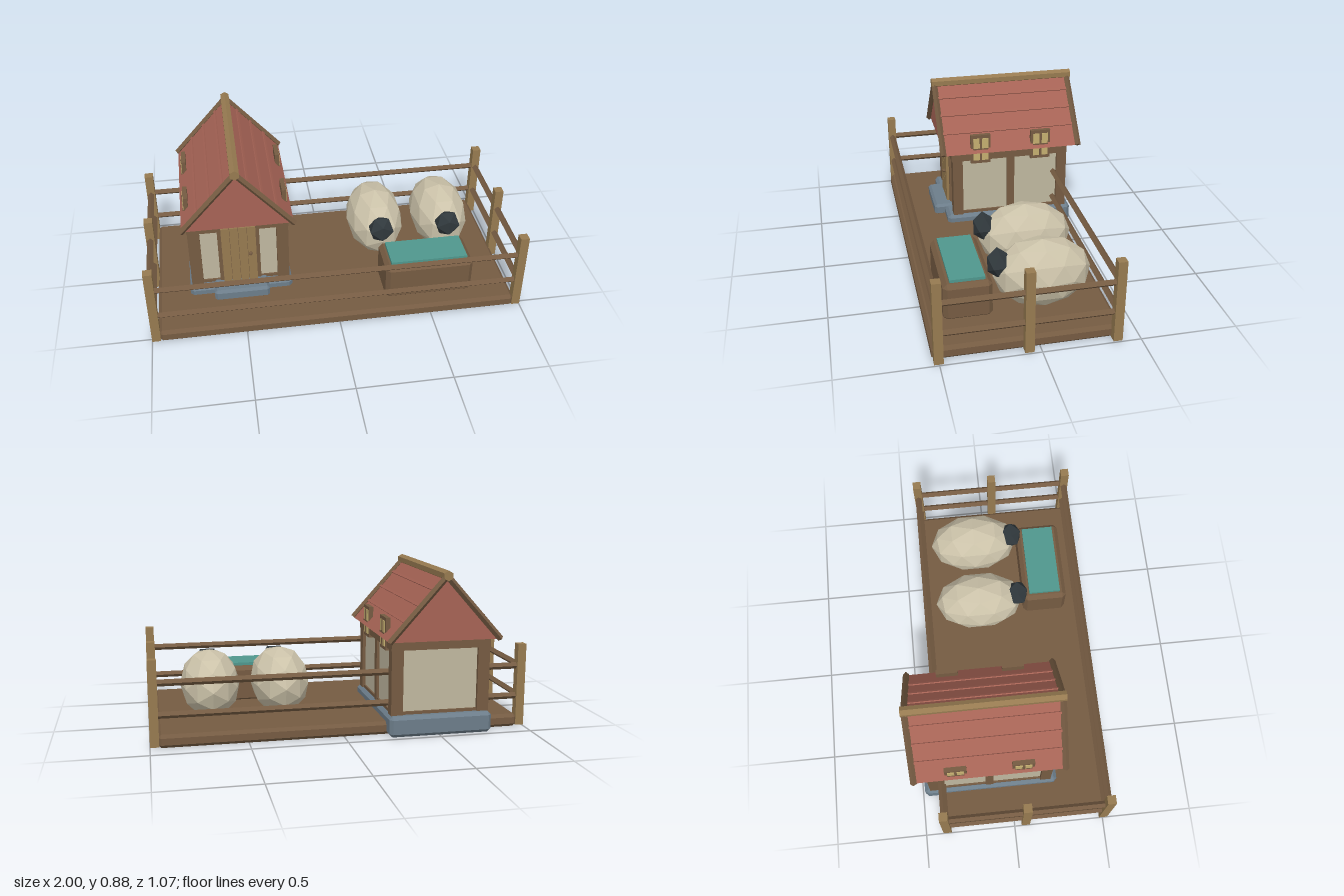
import * as THREE from 'three';
import { ConvexGeometry } from 'three/addons/geometries/ConvexGeometry.js';

export function createModel() {
  const root = new THREE.Group();
  root.name = 'sheepPen';
  const mat = (name, color) => {
    const m = new THREE.MeshStandardMaterial({ color, flatShading: true });
    m.name = name;
    return m;
  };
  const wood = mat('brownWood', 0x755b42);
  const lightWood = mat('lightWood', 0x967a50);
  const red = mat('roofRed', 0xa66355);
  const plaster = mat('plaster', 0xbfb79f);
  const wool = mat('wool', 0xcbc2a9);
  const stone = mat('stone', 0x6c7d8a);
  const dark = mat('darkFace', 0x30383c);
  const teal = mat('water', 0x4f978d);
  const yellow = mat('windowYellow', 0xc4ae70);

  const add = (name, geo, material, x = 0, y = 0, z = 0, parent = root) => {
    const m = new THREE.Mesh(geo, material);
    m.name = name;
    m.position.set(x, y, z);
    parent.add(m);
    return m;
  };
  // box given by its lower and upper limits
  const box = (name, material, x0, x1, y0, y1, z0, z1, parent) =>
    add(name, new THREE.BoxGeometry(x1 - x0, y1 - y0, z1 - z0), material,
      (x0 + x1) / 2, (y0 + y1) / 2, (z0 + z1) / 2, parent);
  // the same with chamfered edges
  const chamferBox = (name, material, x0, x1, y0, y1, z0, z1, b, parent) => {
    const [hx, hy, hz] = [(x1 - x0) / 2, (y1 - y0) / 2, (z1 - z0) / 2];
    const pts = [];
    for (const i of [-1, 1]) for (const j of [-1, 1]) for (const k of [-1, 1]) {
      pts.push(new THREE.Vector3(i * hx, j * (hy - b), k * (hz - b)));
      pts.push(new THREE.Vector3(i * (hx - b), j * hy, k * (hz - b)));
      pts.push(new THREE.Vector3(i * (hx - b), j * (hy - b), k * hz));
    }
    return add(name, new ConvexGeometry(pts), material,
      (x0 + x1) / 2, (y0 + y1) / 2, (z0 + z1) / 2, parent);
  };
  // straight pole between two points
  const pole = (name, material, a, b, r, sides, parent) => {
    const p = new THREE.Vector3(...a), q = new THREE.Vector3(...b);
    const d = q.clone().sub(p);
    const m = add(name, new THREE.CylinderGeometry(r, r, d.length(), sides), material, 0, 0, 0, parent);
    m.position.copy(p).add(q).multiplyScalar(0.5);
    m.quaternion.setFromUnitVectors(new THREE.Vector3(0, 1, 0), d.normalize());
    return m;
  };

  // deck
  chamferBox('deck', wood, -0.96, 0.96, 0.003, 0.073, -0.41, 0.532, 0.017);

  // fence
  const fence = new THREE.Group();
  fence.name = 'fence';
  root.add(fence);
  const px = 0.977, zs = [-0.38, 0.063, 0.503];
  for (const s of [-1, 1]) for (const z of zs)
    box('fencePost', lightWood, s * px - 0.023, s * px + 0.023, 0.01, 0.459, z - 0.023, z + 0.023, fence);
  for (const y of [0.171, 0.338]) {
    for (const z of [zs[0], zs[2]]) pole('fenceRail', wood, [-0.96, y, z], [0.96, y, z], 0.018, 4, fence);
    for (const s of [-1, 1]) pole('fenceRail', wood, [s * px, y, zs[0]], [s * px, y, zs[2]], 0.018, 4, fence);
  }

  // house, built around its own centre line
  const house = new THREE.Group();
  house.name = 'house';
  house.position.x = -0.505;
  root.add(house);
  chamferBox('foundation', stone, -0.28, 0.28, 0.004, 0.117, -0.485, 0.26, 0.018, house);
  chamferBox('doorStep', stone, -0.15, 0.15, 0.06, 0.128, 0.2, 0.32, 0.014, house);
  box('walls', plaster, -0.25, 0.25, 0.11, 0.52, -0.435, 0.205, house);
  box('sill', wood, -0.26, 0.26, 0.115, 0.133, -0.445, 0.215, house);
  for (const s of [-1, 1]) {
    for (const z of [-0.425, 0.195])
      box('cornerPost', wood, s * 0.236 - 0.032, s * 0.236 + 0.032, 0.115, 0.515, z - 0.029, z + 0.029, house);
    box('middlePost', wood, s * 0.25 - 0.015, s * 0.25 + 0.015, 0.115, 0.515, -0.141, -0.097, house);
    box('sideBeam', wood, s * 0.25 - 0.02, s * 0.25 + 0.02, 0.463, 0.515, -0.455, 0.23, house);
  }
  for (const z of [-0.435, 0.21])
    box('endBeam', wood, -0.27, 0.27, 0.463, 0.515, z - 0.02, z + 0.02, house);

  // door
  box('doorFrame', wood, -0.112, 0.112, 0.12, 0.485, 0.195, 0.222, house);
  for (let i = 0; i < 4; i++) {
    const x = -0.093 + i * 0.0465;
    box('doorPlank', lightWood, x + 0.001, x + 0.0455, 0.128, 0.485, 0.21, 0.238, house);
  }
  add('doorKnob', new THREE.IcosahedronGeometry(0.012, 0), wood, 0.06, 0.315, 0.246, house);

  // roof
  const eaveX = 0.295, eaveY = 0.515, apexY = 0.85;
  const gable = new THREE.Shape([
    new THREE.Vector2(-eaveX, eaveY), new THREE.Vector2(eaveX, eaveY), new THREE.Vector2(0, apexY)]);
  add('roof', new THREE.ExtrudeGeometry(gable, { depth: 0.77, bevelEnabled: false }), red, 0, 0, -0.5, house);
  pole('ridgeBeam', lightWood, [0, 0.855, -0.534], [0, 0.855, 0.297], 0.027, 6, house);
  for (const s of [-1, 1]) {
    for (const z of [-0.515, 0.28])
      pole('vergeBoard', wood, [0, apexY + 0.002, z], [s * 0.298, 0.518, z], 0.017, 4, house);
    for (const y of [0.615, 0.698, 0.78]) {
      const x = s * eaveX * (apexY - y) / (apexY - eaveY);
      pole('roofBatten', red, [x, y, -0.5], [x, y, 0.27], 0.01, 4, house);
    }
  }

  // windows that rise through the roof edge
  for (const s of [-1, 1]) for (const z of [0.06, -0.293]) {
    const win = new THREE.Group();
    win.name = 'window';
    win.position.set(s * 0.262, 0.532, z);
    house.add(win);
    box('windowFrame', wood, -0.012, 0.012, -0.087, 0.087, -0.058, 0.058, win);
    for (const i of [-1, 1]) for (const j of [-1, 1])
      add('windowPane', new THREE.BoxGeometry(0.008, 0.063, 0.037), yellow, s * 0.012, j * 0.036, i * 0.025, win);
    add('windowBar', new THREE.BoxGeometry(0.012, 0.14, 0.013), wood, s * 0.013, 0, 0, win);
    add('windowBar', new THREE.BoxGeometry(0.012, 0.012, 0.09), wood, s * 0.013, 0, 0, win);
  }

  // sheep
  for (const x of [0.293, 0.67]) {
    const sheep = new THREE.Group();
    sheep.name = 'sheep';
    sheep.position.x = x;
    root.add(sheep);
    add('woolBody', new THREE.IcosahedronGeometry(1, 1), wool, 0, 0.252, -0.075, sheep).scale.set(0.16, 0.182, 0.253);
    add('head', new THREE.IcosahedronGeometry(1, 0), dark, -0.004, 0.322, 0.148, sheep).scale.set(0.075, 0.08, 0.065);
  }

  // trough
  chamferBox('trough', wood, 0.265, 0.745, 0.06, 0.268, 0.188, 0.438, 0.022);
  box('troughWater', teal, 0.297, 0.715, 0.255, 0.284, 0.222, 0.402);

  return root;
}
